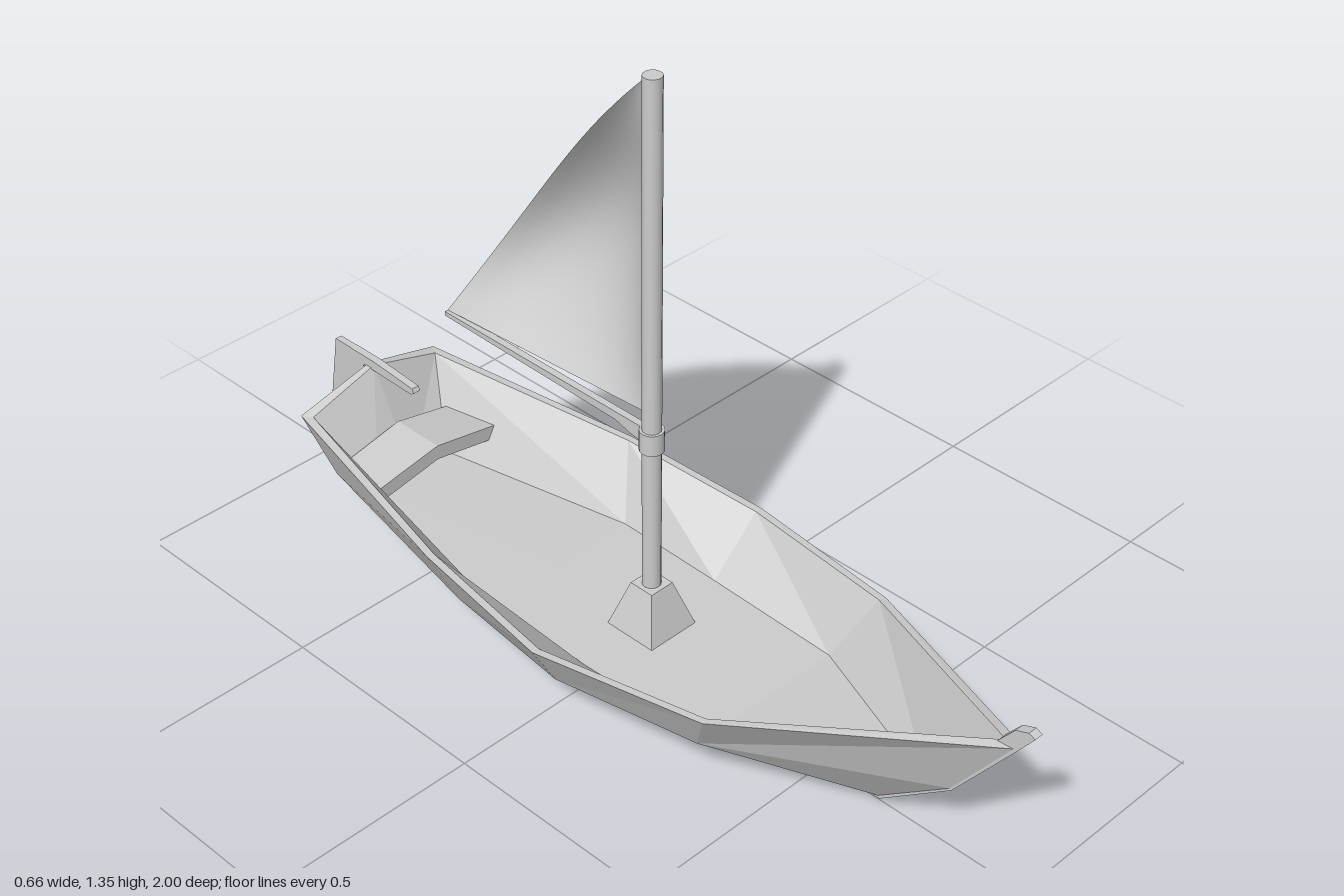
import * as THREE from 'three';

const flat = new THREE.MeshStandardMaterial({ color: 0xcccccc, flatShading: true });
const smooth = new THREE.MeshStandardMaterial({ color: 0xcccccc });
const smoothDouble = new THREE.MeshStandardMaterial({ color: 0xcccccc, side: THREE.DoubleSide });

function part(name, geometry, material = flat) {
  const mesh = new THREE.Mesh(geometry, material);
  mesh.name = name;
  return mesh;
}

// Plate drawn in the side plane as [z, y] points, with its thickness along x
function sidePlate(points, width) {
  const shape = new THREE.Shape(points.map(([z, y]) => new THREE.Vector2(z, y)));
  return new THREE.ExtrudeGeometry(shape, { depth: width, bevelEnabled: false })
    .translate(0, 0, -width / 2)
    .rotateY(-Math.PI / 2);
}

// Hull from half sections, stern to bow. Each section runs
// keel, bottom edge, chine, outer rail, inner rail, floor edge, floor centre.
function hullGeometry() {
  const sections = [
    [[0, 0, -0.67], [0.06, 0.004, -0.67], [0.155, 0.115, -0.79], [0.19, 0.255, -0.855],
      [0.175, 0.255, -0.832], [0.1, 0.08, -0.72], [0, 0.08, -0.72]],
    [[0, 0.005, -0.3], [0.085, 0.008, -0.3], [0.24, 0.095, -0.3], [0.295, 0.22, -0.33],
      [0.279, 0.22, -0.325], [0.195, 0.08, -0.25], [0, 0.08, -0.25]],
    [[0, 0.008, 0.02], [0.09, 0.011, 0.02], [0.27, 0.09, 0.02], [0.33, 0.195, 0.02],
      [0.313, 0.195, 0.02], [0.19, 0.08, 0.02], [0, 0.08, 0.02]],
    [[0, 0.013, 0.36], [0.07, 0.015, 0.36], [0.215, 0.1, 0.36], [0.265, 0.22, 0.42],
      [0.25, 0.22, 0.415], [0.18, 0.08, 0.35], [0, 0.08, 0.35]],
    [[0, 0.018, 0.65], [0.0105, 0.02, 0.65], [0.0105, 0.15, 0.82], [0.0105, 0.335, 0.955],
      [0, 0.335, 0.93], [0, 0.115, 0.76], [0, 0.115, 0.76]],
  ];
  const pos = [];
  const mirror = ([x, y, z]) => [-x, y, z];
  const quad = (a, b, c, d) => pos.push(...a, ...b, ...c, ...a, ...c, ...d);
  for (let s = 0; s < 4; s++) {
    for (let i = 0; i < 6; i++) {
      const a = sections[s][i], b = sections[s][i + 1];
      const c = sections[s + 1][i + 1], d = sections[s + 1][i];
      // The lower bow panel folds along the other diagonal
      const q = s === 3 && i === 1 ? [b, c, d, a] : [a, b, c, d];
      const [e, f, g, h] = q.map(mirror);
      quad(...q);
      quad(e, h, g, f);
    }
  }
  // Transom, outside and inside, with a crowned top edge
  const crown = ([, y, z], i) => [0, i === 3 || i === 4 ? y + 0.052 : y, z + (i === 3 ? 0.008 : 0)];
  for (let i = 0; i < 5; i++) {
    const p = sections[0][i], n = sections[0][i + 1];
    const pc = crown(p, i), nc = crown(n, i + 1);
    quad(p, pc, nc, n);
    quad(pc, mirror(p), mirror(n), nc);
  }
  const geometry = new THREE.BufferGeometry();
  geometry.setAttribute('position', new THREE.Float32BufferAttribute(pos, 3));
  geometry.computeVertexNormals();
  return geometry;
}

// Billowed triangular sail: s runs luff to leech, t runs foot to head
function sailGeometry() {
  const geometry = new THREE.PlaneGeometry(1, 1, 16, 24);
  const p = geometry.attributes.position;
  for (let i = 0; i < p.count; i++) {
    const s = p.getX(i) + 0.5, t = p.getY(i) + 0.5;
    const swell = Math.max(0, Math.sin(Math.PI * Math.pow(t, 0.75)));
    const belly = Math.pow(swell, 1.25) * (0.075 * s + 0.41 * s * (1 - s));
    const leechZ = -0.575 * (1 - t) - 0.2 * t * (1 - t);
    const y = THREE.MathUtils.lerp(0.6 + 0.735 * t, 0.57 + 0.765 * t, s);
    p.setXYZ(i, belly, y, 0.005 + (leechZ - 0.005) * s);
  }
  geometry.computeVertexNormals();
  return geometry;
}

// Seat board, narrower towards the stern and raised along the middle
function seatGeometry() {
  const geometry = new THREE.BoxGeometry(2, 0.035, 0.13, 2, 1, 1);
  const p = geometry.attributes.position;
  for (let i = 0; i < p.count; i++) {
    const x = p.getX(i);
    p.setX(i, x * (p.getZ(i) > 0 ? 0.172 : 0.145));
    p.setY(i, p.getY(i) + 0.03 * (1 - Math.abs(x)));
  }
  geometry.translate(0, 0.145, -0.695);
  geometry.computeVertexNormals();
  return geometry;
}

export function createModel() {
  const boat = new THREE.Group();
  boat.name = 'sailboat';

  boat.add(part('hull', hullGeometry()));
  boat.add(part('sternSeat', seatGeometry()));

  // Stem post following the bow
  boat.add(part('stemPost', sidePlate([
    [0.64, 0.012], [0.655, 0.015], [0.824, 0.147], [0.96, 0.33], [1, 0.385],
    [0.985, 0.392], [0.955, 0.38], [0.92, 0.335], [0.805, 0.15], [0.64, 0.022],
  ], 0.021)));

  // Mast with its foot and collar
  const rig = new THREE.Group();
  rig.name = 'rig';
  rig.position.z = 0.023;
  const foot = new THREE.CylinderGeometry(0.03 * Math.SQRT2, 0.065 * Math.SQRT2, 0.11, 4)
    .rotateY(Math.PI / 4).translate(0, 0.13, 0);
  rig.add(part('mastFoot', foot));
  rig.add(part('mast', new THREE.CylinderGeometry(0.02, 0.02, 1.2, 16).translate(0, 0.752, 0), smooth));
  rig.add(part('mastCollar', new THREE.CylinderGeometry(0.026, 0.026, 0.048, 16).translate(0, 0.544, 0), smooth));
  boat.add(rig);

  boat.add(part('boom', sidePlate([
    [0.01, 0.53], [-0.03, 0.536], [-0.07, 0.548], [-0.575, 0.56], [-0.575, 0.57], [0.01, 0.567],
  ], 0.016)));
  boat.add(part('sail', sailGeometry(), smoothDouble));

  // Rudder hung behind the transom, with its tiller
  const rudder = new THREE.Group();
  rudder.name = 'rudder';
  rudder.add(part('rudderBlade', sidePlate([
    [-0.858, 0.325], [-0.855, 0.015], [-1, 0.025], [-0.95, 0.325],
  ], 0.016)));
  rudder.add(part('tiller', sidePlate([
    [-0.69, 0.305], [-0.7, 0.298], [-0.87, 0.302], [-0.9, 0.325], [-0.82, 0.325], [-0.695, 0.315],
  ], 0.018)));
  boat.add(rudder);

  return boat;
}
